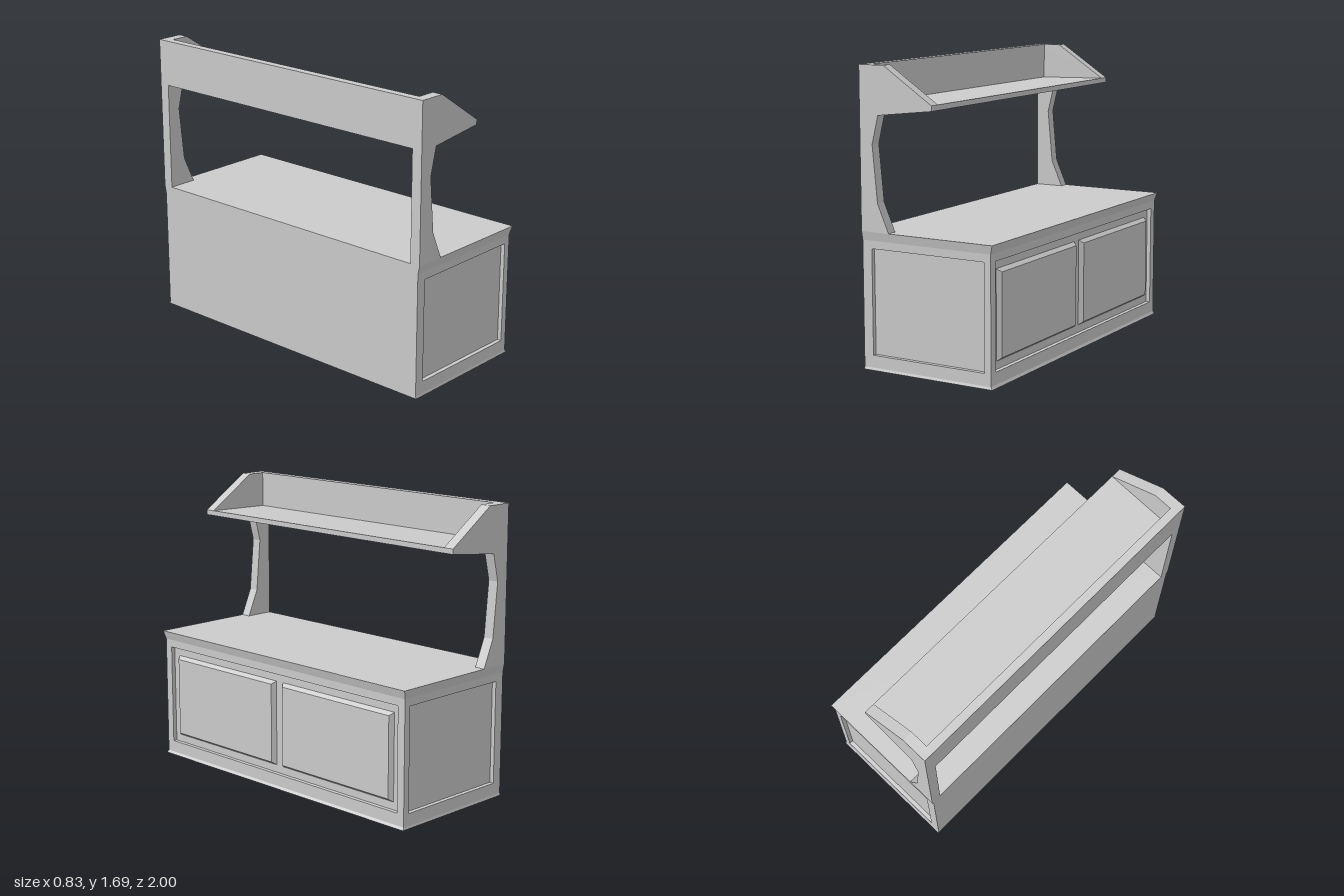
import * as THREE from 'three';

const BACK = -0.42, FRONT = 0.4, HALF = 0.99, DEPTH = 0.025;
const material = new THREE.MeshStandardMaterial({ color: 0xcccccc });

function add(parent, name, geometry) {
  const mesh = new THREE.Mesh(geometry, material);
  mesh.name = name;
  parent.add(mesh);
  return mesh;
}

// Slab with a flush back whose front and ends flare between two heights
function flaredSlab(y0, y1, bottom, top) {
  const g = new THREE.BoxGeometry(2, 2, 2);
  const p = g.attributes.position;
  for (let i = 0; i < p.count; i++) {
    const up = p.getY(i) > 0;
    const [x, z] = up ? top : bottom;
    p.setXYZ(i, p.getX(i) > 0 ? x : BACK, up ? y1 : y0, Math.sign(p.getZ(i)) * z);
  }
  g.computeVertexNormals();
  return g;
}

// Block facing +z whose front edges are bevelled inwards
function bevelledPanel(width, height, depth, bevel) {
  const g = new THREE.BoxGeometry(width, height, depth);
  const p = g.attributes.position;
  for (let i = 0; i < p.count; i++) {
    if (p.getZ(i) < 0) continue;
    p.setX(i, p.getX(i) - Math.sign(p.getX(i)) * bevel);
    p.setY(i, p.getY(i) - Math.sign(p.getY(i)) * bevel);
  }
  g.computeVertexNormals();
  return g;
}

function rect(Type, x0, y0, x1, y1) {
  return new Type([[x0, y0], [x1, y0], [x1, y1], [x0, y1]].map(([x, y]) => new THREE.Vector2(x, y)));
}

// Flat border around a recessed panel
function frame(x0, x1, inX0, inX1) {
  const shape = rect(THREE.Shape, x0, 0.015, x1, 0.73);
  shape.holes.push(rect(THREE.Path, inX0, 0.085, inX1, 0.685));
  return new THREE.ExtrudeGeometry(shape, { depth: DEPTH, bevelEnabled: false });
}

function profile(points, depth) {
  const shape = new THREE.Shape(points.map(([x, y]) => new THREE.Vector2(x, y)));
  return new THREE.ExtrudeGeometry(shape, { depth, bevelEnabled: false });
}

export function createModel() {
  const model = new THREE.Group();
  model.name = 'servingCounter';

  // Cabinet: core, skirt and flared countertop
  const inner = FRONT - DEPTH;
  add(model, 'cabinetCore', flaredSlab(0.015, 0.73, [inner, HALF - DEPTH], [inner, HALF - DEPTH]));
  add(model, 'skirt', flaredSlab(0, 0.015, [0.41, 0.995], [FRONT, HALF]));
  add(model, 'countertop', flaredSlab(0.73, 0.78, [FRONT, HALF], [0.415, 1]));

  // Recess borders on the long side and both ends
  const longFrame = add(model, 'longSideFrame', frame(-HALF, HALF, -0.94, 0.94));
  longFrame.rotation.y = Math.PI / 2;
  longFrame.position.x = inner;
  for (const s of [1, -1]) {
    const end = add(model, 'endFrame', frame(BACK, inner, -0.36, 0.36));
    end.position.z = s > 0 ? HALF - DEPTH : -HALF;
  }

  // Raised doors on the long side
  for (const s of [1, -1]) {
    const door = add(model, 'door', bevelledPanel(0.865, 0.505, DEPTH, 0.018));
    door.rotation.y = Math.PI / 2;
    door.position.set(inner + DEPTH / 2, 0.3825, s * 0.4605);
  }

  // Curved end brackets holding the shelf
  const bracket = [[BACK, 0.78], [-0.24, 0.78], [-0.31, 0.94], [-0.34, 1.26], [-0.3, 1.42],
    [0.045, 1.46], [0.045, 1.49], [-0.26, 1.69], [BACK, 1.69]];
  for (const s of [1, -1]) {
    const side = add(model, 'shelfBracket', profile(bracket, 0.063));
    side.position.z = s > 0 ? 0.937 : -1;
  }

  // Shelf and its back board in one section
  const shelf = add(model, 'shelf', profile([[BACK, 1.42], [-0.3, 1.42], [0.045, 1.46],
    [0.045, 1.49], [-0.37, 1.48], [-0.37, 1.69], [BACK, 1.69]], 1.874));
  shelf.position.z = -0.937;

  return model;
}
